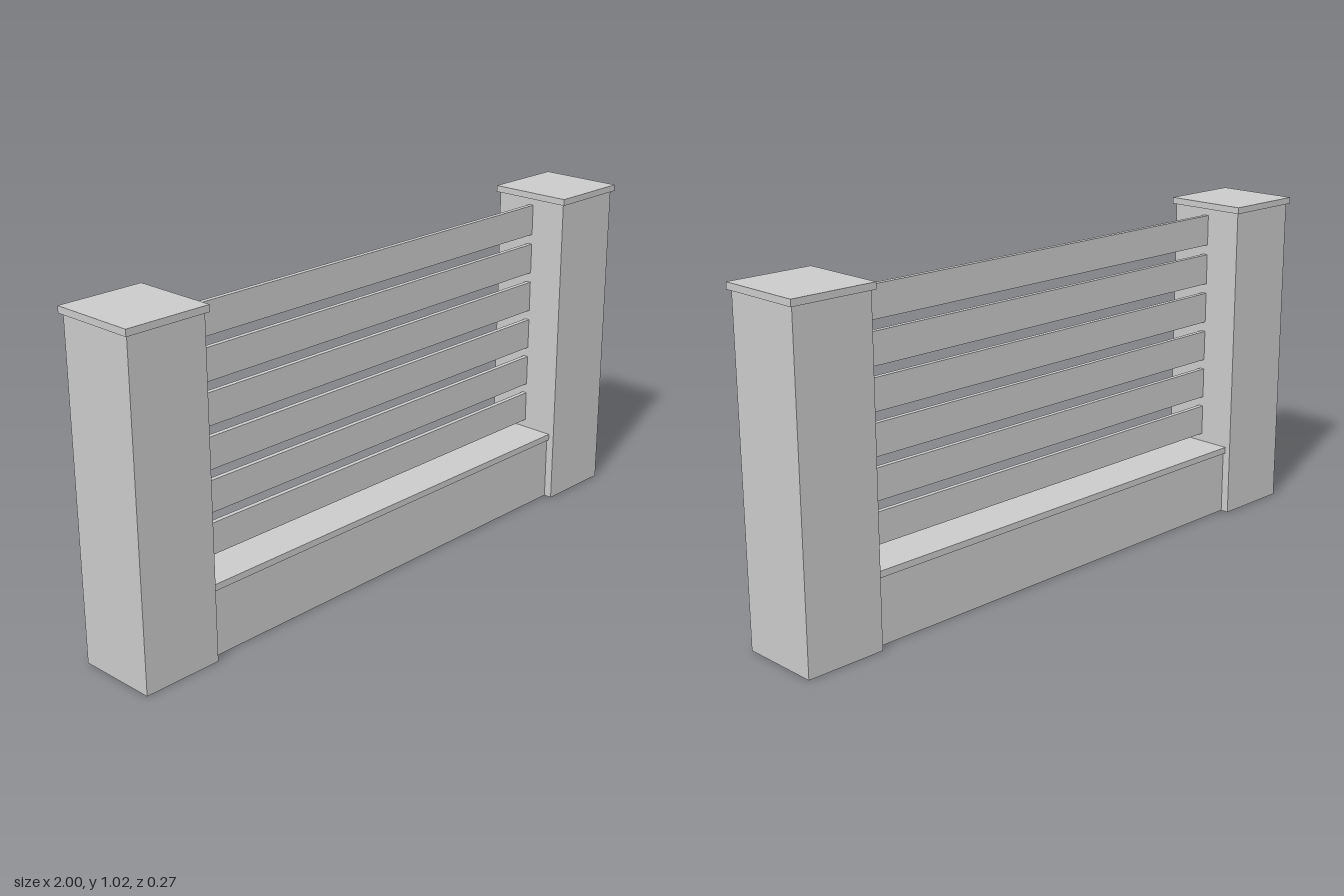
import * as THREE from 'three';

const material = new THREE.MeshStandardMaterial({ color: 0xcccccc, flatShading: true });
const shell = new THREE.MeshStandardMaterial({ color: 0xcccccc, flatShading: true, side: THREE.DoubleSide });

const POST_H = 1.003, POST_W = 0.25, POST_D = 0.252, POST_X = 0.866;
const INNER_X = POST_X - POST_W / 2;
const BASE_H = 0.203, BASE_D = 0.2;

function box(name, w, h, d, x, y, z) {
  const mesh = new THREE.Mesh(new THREE.BoxGeometry(w, h, d), material);
  mesh.name = name;
  mesh.position.set(x, y, z);
  return mesh;
}

// Thin upright panel standing on the ground
function panel(name, w, h, x, z, turn) {
  const mesh = new THREE.Mesh(new THREE.PlaneGeometry(w, h), shell);
  mesh.name = name;
  mesh.position.set(x, h / 2, z);
  mesh.rotation.y = turn;
  return mesh;
}

// Hollow post, open below, its inner wall notched where the base joins
function createPost(side) {
  const post = new THREE.Group();
  post.name = side > 0 ? 'leftPost' : 'rightPost';
  const x = side * POST_X;
  post.add(
    panel('postFront', POST_W, POST_H, x, POST_D / 2, 0),
    panel('postBack', POST_W, POST_H, x, -POST_D / 2, Math.PI),
    panel('postOuterSide', POST_D, POST_H, side * (POST_X + POST_W / 2), 0, side * Math.PI / 2),
  );
  const d = POST_D / 2, b = BASE_D / 2;
  const outline = new THREE.Shape([
    [-d, 0], [-b, 0], [-b, BASE_H], [b, BASE_H], [b, 0], [d, 0], [d, POST_H], [-d, POST_H],
  ].map(([u, v]) => new THREE.Vector2(u, v)));
  const inner = new THREE.Mesh(new THREE.ShapeGeometry(outline), shell);
  inner.name = 'postInnerSide';
  inner.position.x = side * INNER_X;
  inner.rotation.y = -side * Math.PI / 2;
  post.add(inner);

  // Overhanging cap
  post.add(box('postCap', 0.268, 0.02, 0.27, x, POST_H + 0.01, 0));
  return post;
}

export function createModel() {
  const fence = new THREE.Group();
  fence.name = 'fenceSection';
  fence.add(createPost(-1), createPost(1));

  // Low base wall, hollow and open below, with its coping
  const span = INNER_X * 2;
  const base = new THREE.Group();
  base.name = 'baseWall';
  base.add(
    panel('baseFront', span, BASE_H, 0, BASE_D / 2, 0),
    panel('baseBack', span, BASE_H, 0, -BASE_D / 2, Math.PI),
    box('baseCoping', span, 0.02, 0.216, 0, BASE_H + 0.01, 0),
  );
  fence.add(base);

  // Evenly spaced horizontal slats
  const slats = new THREE.Group();
  slats.name = 'slats';
  for (let i = 0; i < 6; i++) {
    slats.add(box('slat', span, 0.096, 0.015, 0, 0.296 + i * 0.1274, 0));
  }
  fence.add(slats);
  return fence;
}
